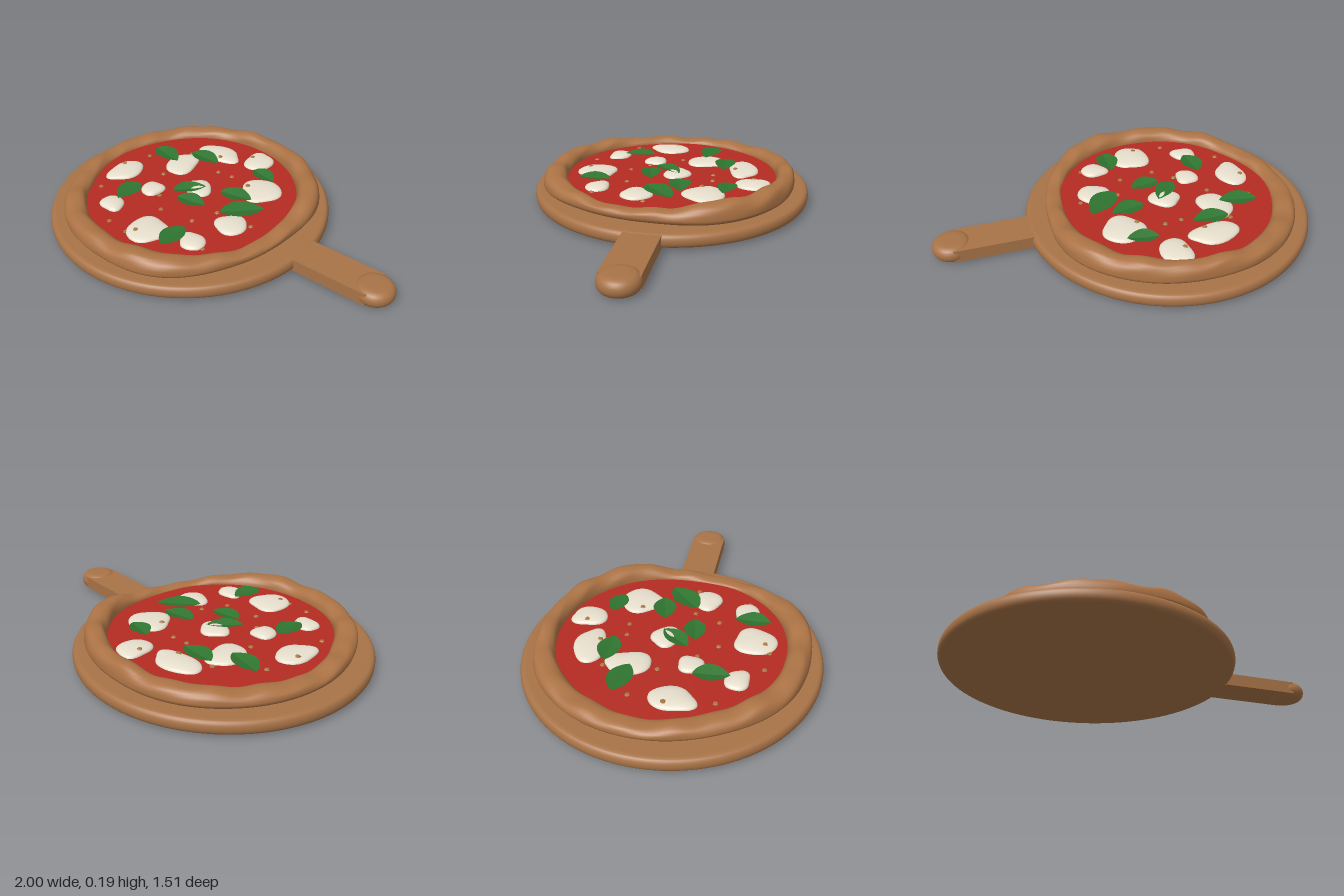
import * as THREE from 'three';
import { mergeVertices } from 'three/addons/utils/BufferGeometryUtils.js';

const CX = -0.245; // centre of board and pizza
const SAUCE_Y = 0.125;

const paint = (name, color, extra = {}) => {
  const m = new THREE.MeshStandardMaterial({ color, ...extra });
  m.name = name;
  return m;
};

// Closed profile of a flat disc with rounded rim
function roundedDisc(radius, y0, y1, round, segments) {
  const h = (y1 - y0) / 2, yc = (y0 + y1) / 2;
  const pts = [new THREE.Vector2(0, y0), new THREE.Vector2(radius - round - 0.001, y0)];
  for (let i = 0; i <= 12; i++) {
    const a = -Math.PI / 2 + (i / 12) * Math.PI;
    const c = Math.pow(Math.max(0, Math.cos(a)), 0.7);
    pts.push(new THREE.Vector2(radius - round + round * c, yc + h * Math.sin(a)));
  }
  pts.push(new THREE.Vector2(radius - round - 0.001, y1), new THREE.Vector2(0, y1));
  return new THREE.LatheGeometry(pts, segments);
}

// Lumpy ring: outer radius, inner radius and height vary around the circle
function crustGeometry() {
  const outer = [0.65, 0.66, 0.712, 0.69, 0.685, 0.66, 0.665, 0.68, 0.69, 0.68, 0.695, 0.70];
  const inner = [0.555, 0.575, 0.58, 0.57, 0.565, 0.545, 0.56, 0.56, 0.575, 0.58, 0.58, 0.575];
  const height = [0.143, 0.145, 0.178, 0.178, 0.17, 0.16, 0.148, 0.155, 0.165, 0.183, 0.187, 0.187];
  const ring = new THREE.CatmullRomCurve3(
    outer.map((r, i) => new THREE.Vector3(r, inner[i], height[i])), true, 'catmullrom');
  const N = 160, M = 24, base = 0.082, yc = 0.115;
  const pos = [], index = [];
  for (let i = 0; i < N; i++) {
    const a = (i / N) * Math.PI * 2;
    const p = ring.getPoint(i / N);
    const top = p.z + 0.005 * Math.sin(11 * a + 1) + 0.004 * Math.sin(19 * a + 2.2);
    const mid = (p.x + p.y) / 2, half = (p.x - p.y) / 2;
    for (let j = 0; j < M; j++) {
      const f = (j / M) * Math.PI * 2, s = Math.sin(f), c = Math.cos(f);
      const sc = Math.sign(c) * Math.pow(Math.abs(c), 0.8);
      const lump = 0.004 * Math.sin(13 * a + 3 * f) * Math.max(0, s);
      const r = mid + half * sc + lump;
      const y = s > 0 ? yc + (top - yc) * Math.pow(s, 0.85) : yc + (yc - base) * s;
      pos.push(r * Math.cos(a), y, r * Math.sin(a));
      const i2 = (i + 1) % N, j2 = (j + 1) % M;
      const A = i * M + j, B = i2 * M + j, C = i * M + j2, D = i2 * M + j2;
      index.push(A, C, B, B, C, D);
    }
  }
  const g = new THREE.BufferGeometry();
  g.setAttribute('position', new THREE.Float32BufferAttribute(pos, 3));
  g.setIndex(index);
  g.computeVertexNormals();
  return g;
}

// Flattened dome with a wobbly outline
function cheeseGeometry(rx, rz, seed) {
  let g = new THREE.SphereGeometry(1, 32, 10, 0, Math.PI * 2, 0, Math.PI / 2);
  g.deleteAttribute('uv');
  g.deleteAttribute('normal');
  g = mergeVertices(g);
  const p = g.attributes.position;
  for (let i = 0; i < p.count; i++) {
    const x = p.getX(i), z = p.getZ(i), a = Math.atan2(z, x);
    const w = 1 + 0.06 * Math.sin(3 * a + seed) + 0.04 * Math.sin(4 * a + seed * 2.3);
    p.setXYZ(i, x * rx * w, Math.pow(Math.max(0, p.getY(i)), 0.8) * 0.024, z * rz * w);
  }
  g.computeVertexNormals();
  return g;
}

// Pointed leaf creased along its midrib, edges lifted
function leafGeometry(len, wid) {
  const n = 14, pos = [], index = [];
  for (const side of [-1, 1]) {
    const start = pos.length / 3;
    for (let i = 0; i <= n; i++) {
      const t = i / n, u = t * 2 - 1;
      const w = wid * Math.pow(Math.sin(Math.PI * Math.pow(t, 0.9)), 0.8);
      for (let k = 0; k <= 3; k++) {
        const v = k / 3;
        pos.push(u * len, 0.016 * v * (w / wid) + 0.004 * u * u, side * v * w);
        if (i < n && k < 3) {
          const a = start + i * 4 + k, b = a + 4;
          if (side > 0) index.push(a, a + 1, b, b, a + 1, b + 1);
          else index.push(a, b, a + 1, b, b + 1, a + 1);
        }
      }
    }
  }
  const g = new THREE.BufferGeometry();
  g.setAttribute('position', new THREE.Float32BufferAttribute(pos, 3));
  g.setIndex(index);
  g.computeVertexNormals();
  return g;
}

export function createModel() {
  const model = new THREE.Group();
  model.name = 'pizzaOnBoard';
  const wood = paint('wood', 0xa87347);
  const dough = paint('bakedDough', 0xac7345);
  const red = paint('tomatoSauce', 0xb52c22);
  const white = paint('cheese', 0xe8e0ce);
  const green = paint('basil', 0x2f7530, { side: THREE.DoubleSide });
  const brown = paint('crumb', 0xa87a42);

  const add = (name, geo, mat, x = 0, y = 0, z = 0, ry = 0) => {
    const m = new THREE.Mesh(geo, mat);
    m.name = name;
    m.position.set(x, y, z);
    m.rotation.y = ry;
    model.add(m);
    return m;
  };

  // Serving board with handle
  add('board', roundedDisc(0.757, 0.01, 0.08, 0.03, 96), wood, CX);
  add('handle', new THREE.BoxGeometry(0.47, 0.066, 0.19), wood, 0.665, 0.044, 0);
  add('handleKnob', roundedDisc(0.1, 0, 0.088, 0.055, 40), wood, 0.9);

  // Pizza base, rim and sauce
  add('pizzaBase', new THREE.CylinderGeometry(0.62, 0.62, 0.03, 64), dough, CX, 0.097, 0);
  add('crust', crustGeometry(), dough, CX);
  add('sauce', new THREE.CylinderGeometry(0.595, 0.595, 0.009, 64), red, CX, SAUCE_Y - 0.0045, 0);

  // Cheese: x, z, half width, half depth, turn
  [
    [-0.36, -0.39, 0.135, 0.08, 0.1], [-0.125, -0.465, 0.08, 0.095, 0.2],
    [0.065, -0.23, 0.11, 0.11, 0], [-0.455, -0.17, 0.085, 0.115, 0.2],
    [-0.22, -0.035, 0.085, 0.073, -0.3], [-0.66, 0.085, 0.08, 0.115, -0.1],
    [-0.41, 0.125, 0.063, 0.065, 0], [0.13, 0.115, 0.085, 0.083, 0],
    [-0.48, 0.36, 0.073, 0.06, -0.3], [-0.175, 0.41, 0.105, 0.108, 0],
    [0.065, 0.34, 0.075, 0.062, -0.3],
  ].forEach(([x, z, rx, rz, turn], i) =>
    add('cheese' + (i + 1), cheeseGeometry(rx, rz, i * 1.7), white, x, SAUCE_Y - 0.001, z, turn));

  // Basil: x, z, half length, half width, turn in degrees
  [
    [-0.38, -0.285, 0.097, 0.058, 0], [-0.58, -0.175, 0.1, 0.06, -10],
    [0, -0.34, 0.08, 0.052, -10], [0, -0.09, 0.092, 0.06, 12],
    [0.11, 0, 0.117, 0.068, 45], [-0.24, 0.015, 0.092, 0.052, 50],
    [-0.155, 0.1, 0.085, 0.056, 10], [-0.48, 0.235, 0.09, 0.06, -85],
    [-0.025, 0.38, 0.09, 0.06, 90],
  ].forEach(([x, z, len, wid, deg], i) =>
    add('basilLeaf' + (i + 1), leafGeometry(len, wid), green, x, 0.143, z, deg * Math.PI / 180));

  // Crumbs: x, z, height above the sauce
  const crumb = new THREE.CylinderGeometry(0.011, 0.015, 0.006, 5);
  [
    [-0.17, -0.465, 1], [-0.32, -0.35, 1], [-0.49, -0.29, 0], [-0.24, -0.235, 0],
    [-0.15, -0.245, 0], [-0.01, -0.208, 1], [-0.67, -0.12, 0], [-0.47, -0.025, 0],
    [-0.7, 0.053, 1], [-0.34, 0.145, 0], [-0.65, 0.283, 0], [-0.245, 0.235, 0],
    [-0.05, 0.21, 0], [0.214, 0.06, 0], [-0.38, 0.476, 0], [-0.25, 0.487, 0],
    [-0.205, 0.46, 1], [0.14, 0.35, 0], [0.005, 0.075, 0],
  ].forEach(([x, z, onCheese], i) =>
    add('crumb' + (i + 1), crumb, brown, x, SAUCE_Y + 0.002 + onCheese * 0.019, z, i));

  return model;
}
